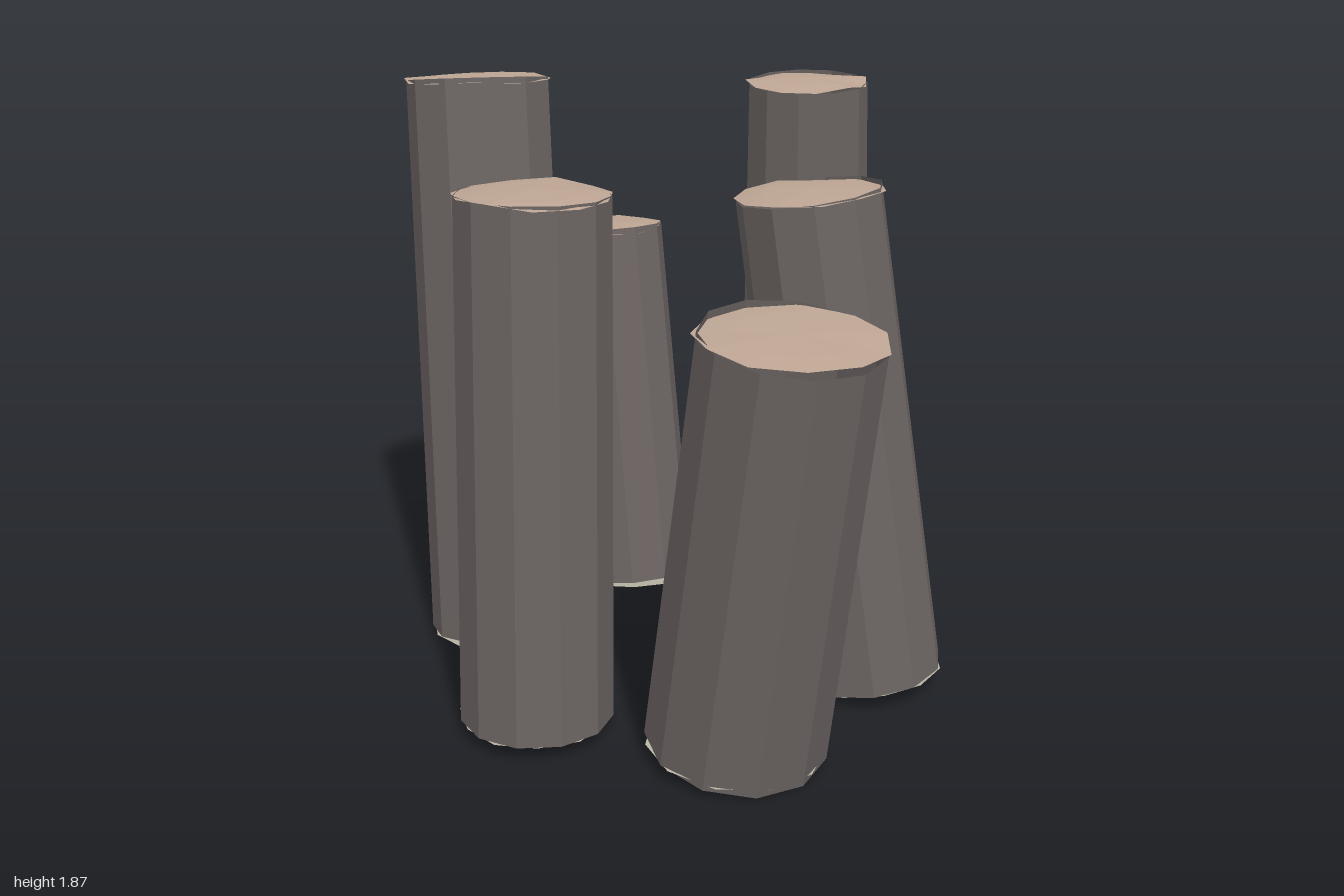
import * as THREE from 'three';

const SIDES = 11;
const UP = new THREE.Vector3(0, 1, 0);

const mat = (name, color) => {
  const m = new THREE.MeshStandardMaterial({ color, flatShading: true, side: THREE.DoubleSide });
  m.name = name;
  return m;
};

function seeded(seed) {
  let s = seed * 7919 + 17;
  return () => (s = (s * 16807) % 2147483647) / 2147483647;
}

// Slightly domed disc with an uneven rim, facing +y
function cutFace(radius, rand) {
  const geo = new THREE.RingGeometry(0, radius, SIDES, 2).rotateX(-Math.PI / 2);
  const rim = Array.from({ length: SIDES }, () => [0.97 + rand() * 0.06, (rand() - 0.5) * 0.016]);
  const p = geo.attributes.position;
  for (let i = 0; i < p.count; i++) {
    const row = Math.floor(i / (SIDES + 1));
    const [scale, lift] = rim[(i % (SIDES + 1)) % SIDES];
    if (row === 2) p.setXYZ(i, p.getX(i) * scale, lift, p.getZ(i) * scale);
    else if (row === 1) p.setXYZ(i, p.getX(i) * 1.3 * scale, 0.008 + lift * 0.4, p.getZ(i) * 1.3 * scale);
    else p.setY(i, 0.014);
  }
  geo.computeVertexNormals();
  return geo;
}

export function createModel() {
  const bark = mat('bark', 0x6b6462);
  const cutWood = mat('cut wood', 0xbda593);
  const paleWood = mat('pale wood', 0xb9b6a5);

  // name, bottom centre, bottom radius, top centre, top radius
  const logs = [
    ['backLeftLog', [-0.29, 0.05, -0.55], 0.24, [-0.14, 1.84, -0.765], 0.23],
    ['backRightLog', [0.335, 0.045, -0.57], 0.215, [0.395, 1.275, -0.76], 0.2],
    ['leftLog', [-0.61, 0.045, -0.01], 0.232, [-0.545, 1.63, -0.04], 0.223],
    ['frontLeftLog', [-0.3, 0.05, 0.525], 0.272, [-0.335, 1.33, 0.74], 0.254],
    ['frontRightLog', [0.325, 0.055, 0.52], 0.236, [0.2, 1.58, 0.335], 0.22],
    ['rightLog', [0.615, 0.04, -0.01], 0.225, [0.5, 1.847, 0.065], 0.187],
  ];

  const model = new THREE.Group();
  model.name = 'logCluster';
  logs.forEach(([name, b, rBottom, t, rTop], n) => {
    const rand = seeded(n + 1);
    const bottom = new THREE.Vector3(...b);
    const top = new THREE.Vector3(...t);
    const axis = top.clone().sub(bottom);
    const length = axis.length();
    axis.normalize();

    const log = new THREE.Group();
    log.name = name;
    const add = (part, geo, material, pos, dir) => {
      const mesh = new THREE.Mesh(geo, material);
      mesh.name = part;
      mesh.position.copy(pos);
      mesh.quaternion.setFromUnitVectors(UP, dir);
      log.add(mesh);
    };

    // Leaning, open-ended trunk
    add('trunk', new THREE.CylinderGeometry(rTop, rBottom, length, SIDES, 1, true, n * 0.37),
      bark, bottom.clone().lerp(top, 0.5), axis);

    // Cut ends lean less than the trunk, so their rims peek out
    const faceDir = UP.clone().lerp(axis, 0.45).normalize();
    add('topCut', cutFace(rTop * 1.03, rand), cutWood, top, faceDir);
    add('bottomCut', cutFace(rBottom * 0.99, rand), paleWood, bottom, faceDir.clone().negate());
    model.add(log);
  });
  return model;
}
